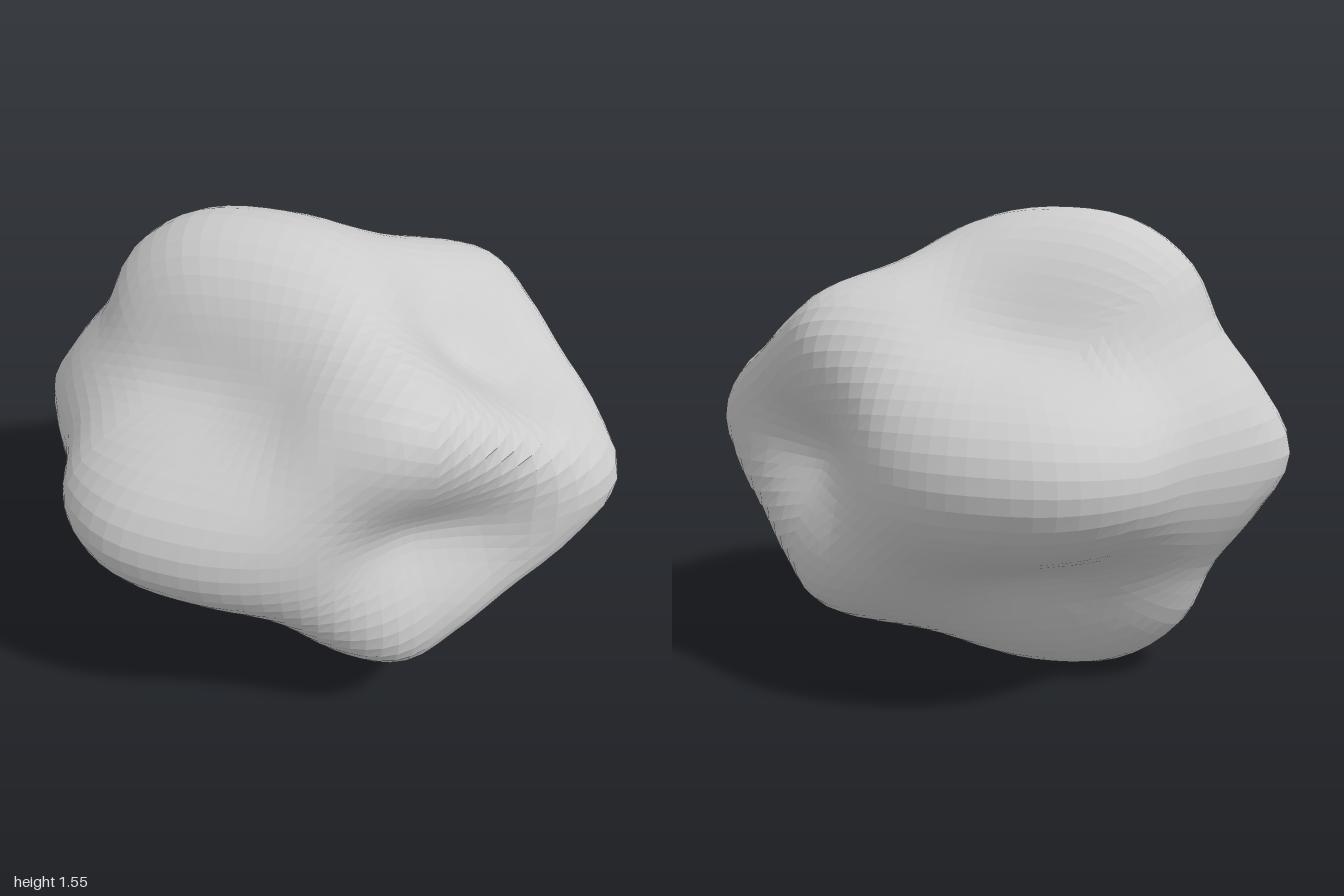
import * as THREE from 'three';

// Radius every 15 degrees from the +x tip to the -x tip, mirrored past both ends to round the tips
function profile(radii) {
  const ends = [radii[1], ...radii, radii[radii.length - 2]];
  const curve = new THREE.SplineCurve(ends.map((r, i) => new THREE.Vector2(i, r)));
  return (angle) => curve.getPoint((1 + (angle / Math.PI) * (radii.length - 1)) / (ends.length - 1)).y;
}
const axisRadius = profile([1, 0.9, 0.7, 0.62, 0.655, 0.755, 0.83, 0.893, 0.947, 0.938, 0.878, 0.925, 1]);
const diagonalRadius = profile([1, 0.92, 0.85, 0.845, 0.865, 0.785, 0.675, 0.635, 0.665, 0.75, 0.84, 0.925, 1]);

export function createModel() {
  const group = new THREE.Group();
  group.name = 'lumpyBody';

  // Rounded cube pushed out into two tips and two rings of four lobes,
  // the rings turned 45 degrees apart
  const geometry = new THREE.BoxGeometry(2, 2, 2, 22, 22, 22);
  const position = geometry.attributes.position;
  const p = new THREE.Vector3();
  const even = (v) => Math.tan((v * Math.PI) / 4);
  for (let i = 0; i < position.count; i++) {
    p.fromBufferAttribute(position, i);
    p.set(even(p.x), even(p.y), even(p.z)).normalize();
    const angle = Math.acos(THREE.MathUtils.clamp(p.x, -1, 1));
    const blend = 0.5 + 0.5 * Math.cos(4 * Math.atan2(p.z, p.y));
    p.multiplyScalar(THREE.MathUtils.lerp(diagonalRadius(angle), axisRadius(angle), blend));
    // The +x tip turns up slightly
    const lift = 0.06 * Math.max(0, p.x - 0.5);
    position.setXYZ(i, p.x, p.y * 0.9 + lift, p.z);
  }
  geometry.computeVertexNormals();

  // Stand the body on the ground
  geometry.computeBoundingBox();
  geometry.translate(0, -geometry.boundingBox.min.y, 0);

  const body = new THREE.Mesh(
    geometry,
    new THREE.MeshStandardMaterial({ color: 0xcccccc, flatShading: true })
  );
  body.name = 'body';
  group.add(body);
  return group;
}
